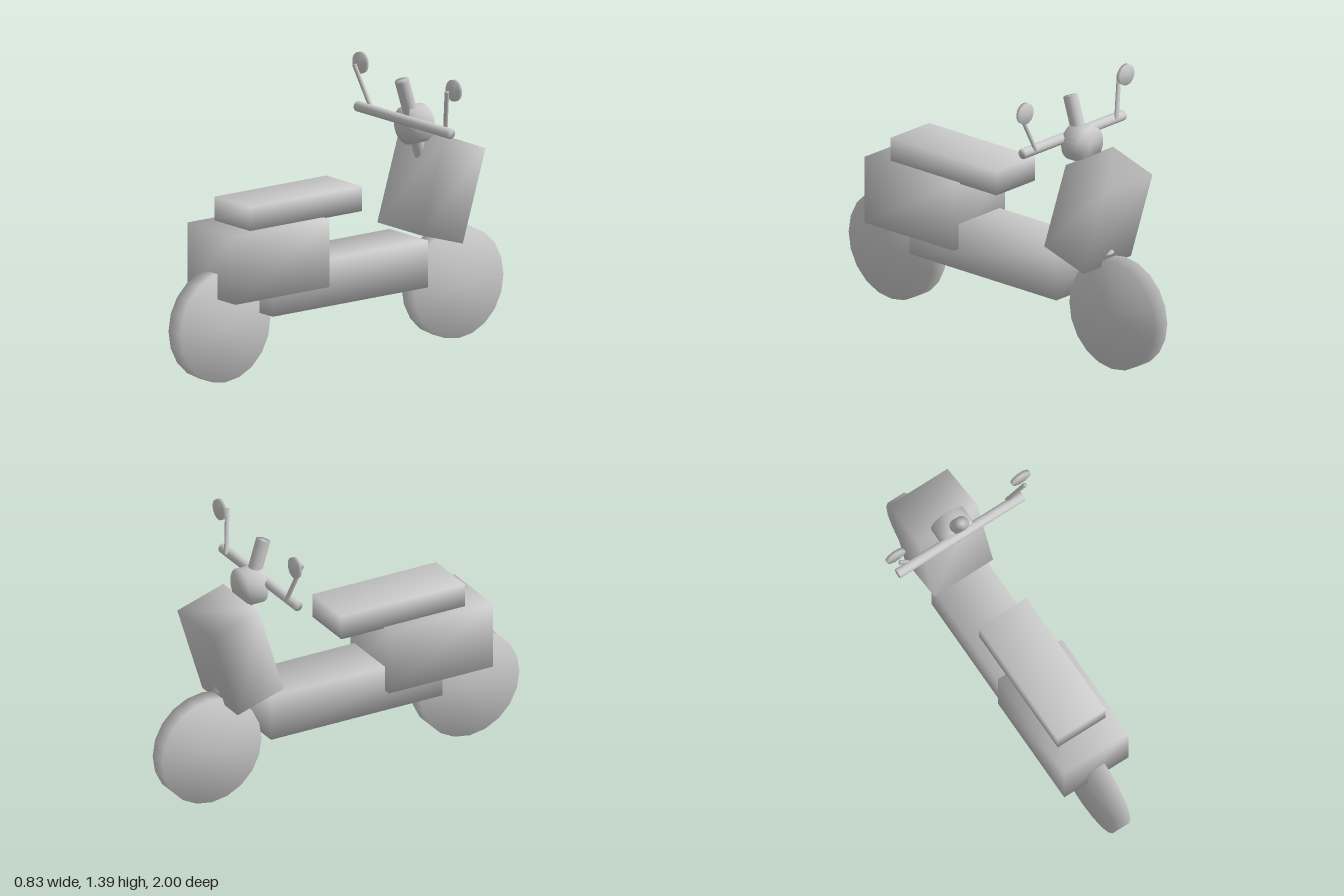
import * as THREE from 'three';
import { mergeVertices } from 'three/addons/utils/BufferGeometryUtils.js';

const grey = new THREE.MeshStandardMaterial({ color: 0xcccccc });
grey.name = 'plain grey';

// Weld corners so that shading runs smoothly over every edge
function welded(geometry) {
  geometry.deleteAttribute('normal');
  geometry.deleteAttribute('uv');
  const g = mergeVertices(geometry, 1e-4);
  g.computeVertexNormals();
  return g;
}

export function createModel() {
  const model = new THREE.Group();
  model.name = 'scooter';

  function add(name, geometry, x, y, z) {
    const mesh = new THREE.Mesh(welded(geometry), grey);
    mesh.name = name;
    mesh.position.set(x, y, z);
    model.add(mesh);
    return mesh;
  }
  const box = (name, w, h, d, y, z) => add(name, new THREE.BoxGeometry(w, h, d), 0, y, z);

  // Cylinder between two points
  function rod(name, a, b, radius, sides) {
    const from = new THREE.Vector3(...a), to = new THREE.Vector3(...b);
    const dir = to.clone().sub(from);
    const mid = from.add(to).multiplyScalar(0.5);
    const mesh = add(name, new THREE.CylinderGeometry(radius, radius, dir.length(), sides), mid.x, mid.y, mid.z);
    mesh.quaternion.setFromUnitVectors(new THREE.Vector3(0, 1, 0), dir.normalize());
    return mesh;
  }

  // Wheels
  rod('frontWheel', [-0.047, 0.278, -0.722], [0.047, 0.278, -0.722], 0.278, 20);
  rod('rearWheel', [-0.047, 0.278, 0.722], [0.047, 0.278, 0.722], 0.278, 20);

  // Body
  box('floorFrame', 0.298, 0.235, 0.96, 0.432, 0.03);
  box('rearBody', 0.373, 0.34, 0.582, 0.591, 0.48);
  box('seat', 0.278, 0.124, 0.692, 0.817, 0.296);
  box('frontShield', 0.342, 0.477, 0.27, 0.775, -0.591).rotation.x = -0.3;

  // Steering
  rod('steeringColumn', [0, 0.562, -0.648], [0, 1.325, -0.408], 0.036, 16);
  rod('headlight', [0, 1.098, -0.433], [0, 1.098, -0.537], 0.095, 20);
  rod('handlebar', [-0.363, 1.126, -0.423], [0.363, 1.126, -0.423], 0.026, 12);

  // Mirrors
  for (const s of [1, -1]) {
    const side = s > 0 ? 'left' : 'right';
    rod(side + 'MirrorStem', [s * 0.29, 1.13, -0.447], [s * 0.361, 1.338, -0.4], 0.011, 10);
    rod(side + 'Mirror', [s * 0.364, 1.34, -0.432], [s * 0.364, 1.34, -0.45], 0.053, 18);
  }
  return model;
}
